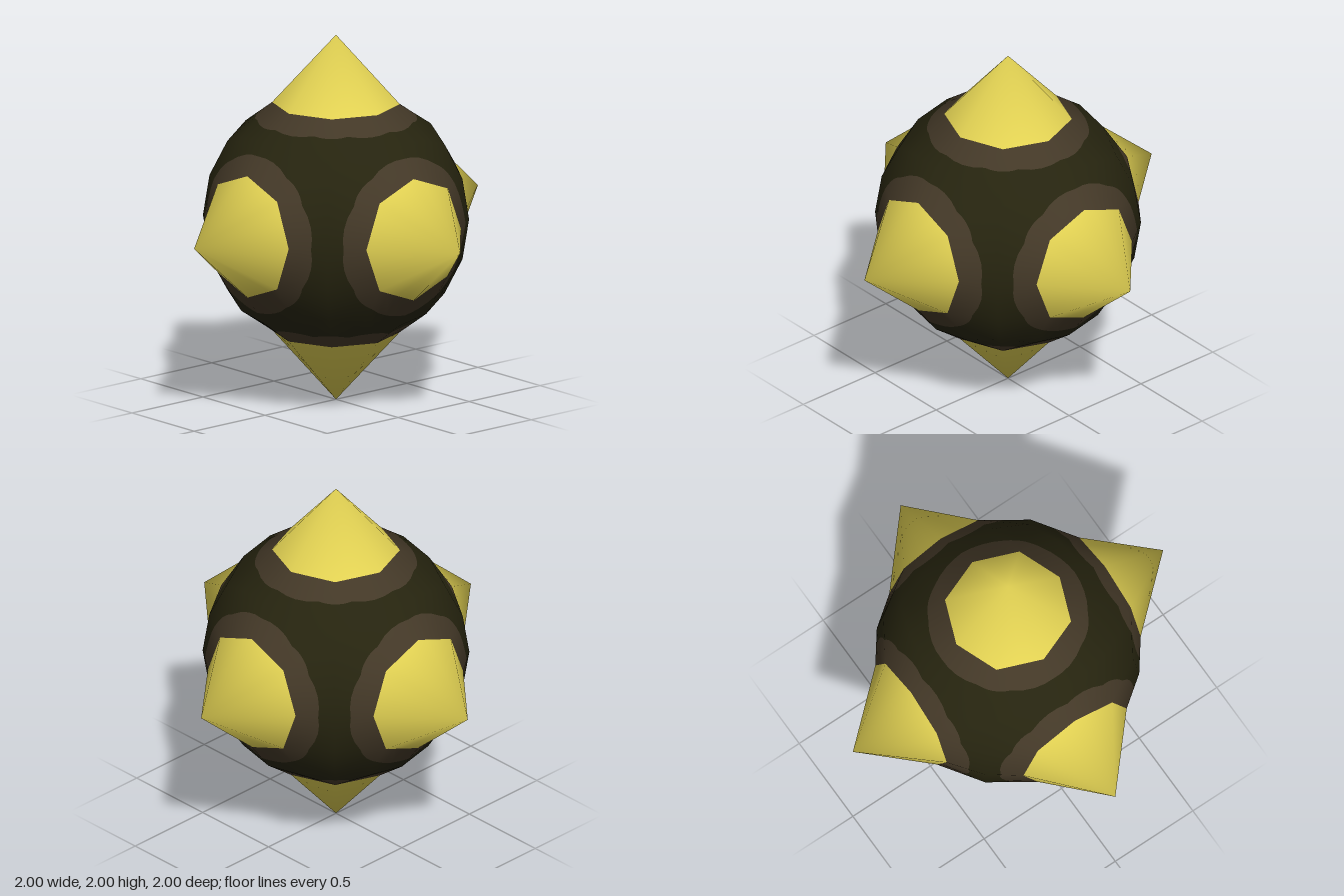
import * as THREE from 'three';

const V = (x, y, z) => new THREE.Vector3(x, y, z);
const STEPS = 4;        // columns between neighbouring control points
const RING_RADIUS = 0.43;

// One quarter of the spike base and of the cube-sphere border, facing +z
const QUARTER = [
  [V(0.333, 0, 0.625), V(0.5, 0, 0.5)],
  [V(0.24, 0.24, 0.625), V(0.475, 0.22, 0.475)],
  [V(0.24, 0.24, 0.625), V(0.408, 0.408, 0.408)],
  [V(0.24, 0.24, 0.625), V(0.22, 0.475, 0.475)],
];

// Smooth normal where spike and body meet: about 42 degrees off the axis
const rimNormal = (p) => V(p.x, p.y, 0).normalize().multiplyScalar(0.67).setZ(0.74);

// Columns around the face: inner, ring and outer vertices with their normals
function makeColumns() {
  const pts = [];
  for (let k = 0; k < 4; k++) {
    for (const pair of QUARTER) {
      pts.push(pair.map((p) => p.clone().applyAxisAngle(V(0, 0, 1), k * Math.PI / 2)));
    }
  }
  const columns = [];
  for (let i = 0; i < pts.length; i++) {
    const next = pts[(i + 1) % pts.length];
    for (let s = 0; s < STEPS; s++) {
      const inner = pts[i][0].clone().lerp(next[0], s / STEPS);
      const outer = pts[i][1].clone().lerp(next[1], s / STEPS);
      const ri = Math.hypot(inner.x, inner.y);
      const ro = Math.hypot(outer.x, outer.y);
      const f = (RING_RADIUS - ri) / (ro - ri);
      const nIn = rimNormal(inner);
      const nOut = outer.clone().normalize();
      columns.push({
        inner: [inner, nIn],
        ring: [inner.clone().lerp(outer, f), nIn.clone().lerp(nOut, f).normalize()],
        outer: [outer, nOut],
      });
    }
  }
  return columns;
}

// Strip between two loops of [position, normal] pairs
function loft(from, to) {
  const pos = [], nor = [], index = [];
  const n = from.length;
  for (const [p, d] of [...from, ...to]) {
    pos.push(p.x, p.y, p.z);
    nor.push(d.x, d.y, d.z);
  }
  for (let i = 0; i < n; i++) {
    const j = (i + 1) % n;
    index.push(i, n + i, n + j, i, n + j, j);
  }
  const g = new THREE.BufferGeometry();
  g.setAttribute('position', new THREE.Float32BufferAttribute(pos, 3));
  g.setAttribute('normal', new THREE.Float32BufferAttribute(nor, 3));
  g.setIndex(index);
  return g;
}

export function createModel() {
  const material = (name, color) => {
    const m = new THREE.MeshStandardMaterial({ color });
    m.name = name;
    return m;
  };
  const yellow = material('spike yellow', 0xe0d052);
  const brown = material('ring brown', 0x433827);
  const dark = material('shell dark olive', 0x26240f);

  const cols = makeColumns();
  const inner = cols.map((c) => c.inner);
  const ring = cols.map((c) => c.ring);
  const outer = cols.map((c) => c.outer);
  const tip = cols.map(() => [V(0, 0, 1), V(0, 0, 1)]);
  const parts = [
    ['spike', loft(tip, inner), yellow],
    ['spikeRing', loft(inner, ring), brown],
    ['shellPanel', loft(ring, outer), dark],
  ];

  // Six equal sides make the closed ball
  const q = Math.PI / 2;
  const sides = {
    frontSide: [0, 0], leftSide: [0, q], backSide: [0, 2 * q],
    rightSide: [0, -q], topSide: [-q, 0], bottomSide: [q, 0],
  };
  const model = new THREE.Group();
  model.name = 'spikedBall';
  for (const [name, [rx, ry]] of Object.entries(sides)) {
    const side = new THREE.Group();
    side.name = name;
    side.rotation.set(rx, ry, 0);
    side.position.y = 1;
    for (const [part, geometry, mat] of parts) {
      const mesh = new THREE.Mesh(geometry, mat);
      mesh.name = part;
      side.add(mesh);
    }
    model.add(side);
  }
  return model;
}
